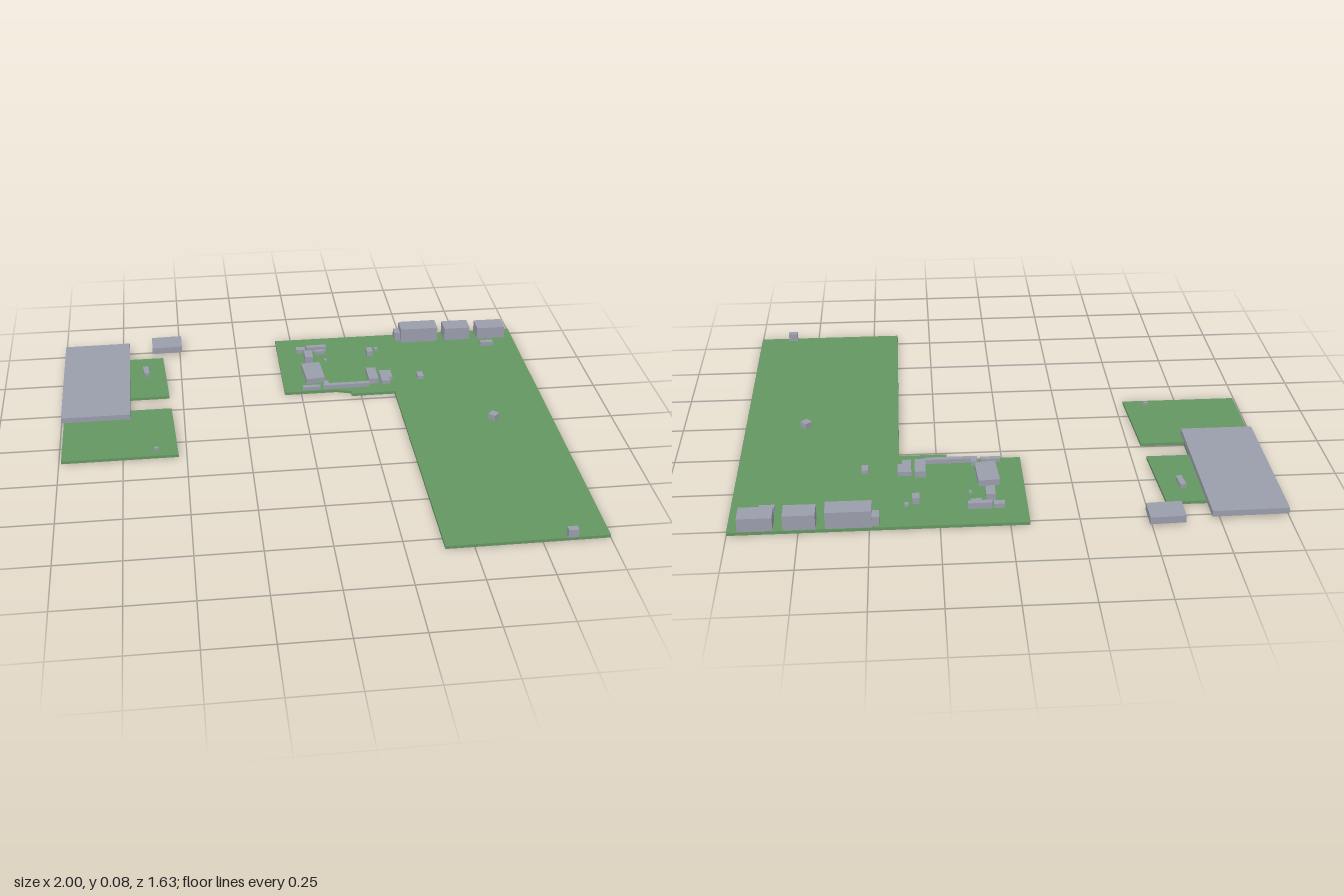
import * as THREE from 'three';

const BOARD_TOP = 0.012;

export function createModel() {
  const model = new THREE.Group();
  model.name = 'circuitBoards';

  const green = new THREE.MeshStandardMaterial({ color: 0x659662, side: THREE.DoubleSide });
  green.name = 'boardGreen';
  const grey = new THREE.MeshStandardMaterial({ color: 0x9a9dab, side: THREE.DoubleSide });
  grey.name = 'componentGrey';

  function add(name, geometry, material) {
    const mesh = new THREE.Mesh(geometry, material);
    mesh.name = name;
    model.add(mesh);
  }

  // Flat board from an outline of [x, z] points
  function board(name, outline) {
    const shape = new THREE.Shape(outline.map(([x, z]) => new THREE.Vector2(x, -z)));
    const geo = new THREE.ExtrudeGeometry(shape, { depth: BOARD_TOP, bevelEnabled: false });
    add(name, geo.rotateX(-Math.PI / 2), green);
  }

  // Open-bottomed cover from four [x, z] corners: back left, back right, front right, front left
  function cover(name, corners, top) {
    const lo = corners.map(([x, z]) => [x, BOARD_TOP, z]);
    const hi = corners.map(([x, z]) => [x, top, z]);
    const pos = [];
    const quad = (a, b, c, d) => pos.push(...a, ...b, ...c, ...a, ...c, ...d);
    quad(hi[0], hi[3], hi[2], hi[1]);
    for (let i = 0; i < 4; i++) {
      const j = (i + 1) % 4;
      quad(lo[j], lo[i], hi[i], hi[j]);
    }
    const geo = new THREE.BufferGeometry();
    geo.setAttribute('position', new THREE.Float32BufferAttribute(pos, 3));
    geo.computeVertexNormals();
    add(name, geo, grey);
  }

  const block = (name, x0, x1, z0, z1, top) =>
    cover(name, [[x0, z0], [x1, z0], [x1, z1], [x0, z1]], top);

  // Boards
  board('mainBoard', [
    [-0.07, -0.775], [1, -0.775], [1, 0.812], [0.393, 0.812], [0.393, -0.278],
    [0.21, -0.278], [0.21, -0.3], [0.15, -0.318], [-0.07, -0.318],
  ]);
  board('sideBoard', [
    [-0.99, -0.676], [-0.575, -0.676], [-0.556, -0.345], [-0.72, -0.345],
    [-0.72, -0.246], [-0.55, -0.246], [-0.532, 0.107], [-0.99, 0.107],
  ]);

  // Shield over the side board and the loose module behind it
  cover('shield', [[-1, -0.782], [-0.72, -0.785], [-0.72, -0.178], [-1, -0.178]], 0.035);
  cover('looseModule', [[-0.62, -0.815], [-0.49, -0.82], [-0.49, -0.722], [-0.62, -0.717]], 0.04);
  cover('sideChip', [[-0.665, -0.58], [-0.642, -0.585], [-0.636, -0.522], [-0.657, -0.518]], 0.028);
  cover('sidePin', [[-0.628, 0.064], [-0.616, 0.06], [-0.608, 0.072], [-0.62, 0.077]], 0.026);

  // Connectors along the back edge
  block('wideConnector', 0.49, 0.655, -0.772, -0.697, 0.078);
  block('connectorTab', 0.465, 0.49, -0.765, -0.72, 0.05);
  block('middleConnector', 0.688, 0.803, -0.772, -0.697, 0.07);
  block('endConnector', 0.838, 0.962, -0.772, -0.695, 0.065);

  // Main chip, slightly skewed, and the rotated sensor
  cover('mainChip', [[0.02, -0.515], [0.1, -0.522], [0.108, -0.388], [0.03, -0.378]], 0.036);
  cover('sensor', [[0.737, -0.02], [0.76, -0.043], [0.783, -0.02], [0.76, 0.003]], 0.035);

  // Small components: x0, x1, z0, z1, top
  const parts = [
    [0.84, 0.897, -0.648, -0.627, 0.03],
    [0.842, 0.88, 0.787, 0.812, 0.045],
    [0.013, 0.053, -0.676, -0.65, 0.03],
    [0.058, 0.147, -0.676, -0.655, 0.036],
    [0.095, 0.136, -0.645, -0.63, 0.028],
    [0.043, 0.078, -0.623, -0.563, 0.04],
    [0.127, 0.138, -0.572, -0.561, 0.022],
    [0.32, 0.346, -0.628, -0.59, 0.036],
    [0.36, 0.375, -0.648, -0.632, 0.024],
    [0.293, 0.334, -0.445, -0.35, 0.038],
    [0.347, 0.398, -0.43, -0.37, 0.03],
    [0.347, 0.382, -0.37, -0.34, 0.03],
    [0.507, 0.533, -0.405, -0.365, 0.028],
    [0.008, 0.083, -0.347, -0.328, 0.026],
    [0.095, 0.292, -0.347, -0.328, 0.03],
    [0.1, 0.12, -0.37, -0.347, 0.03],
  ];
  parts.forEach((p, i) => block('component' + (i + 1), ...p));

  return model;
}
